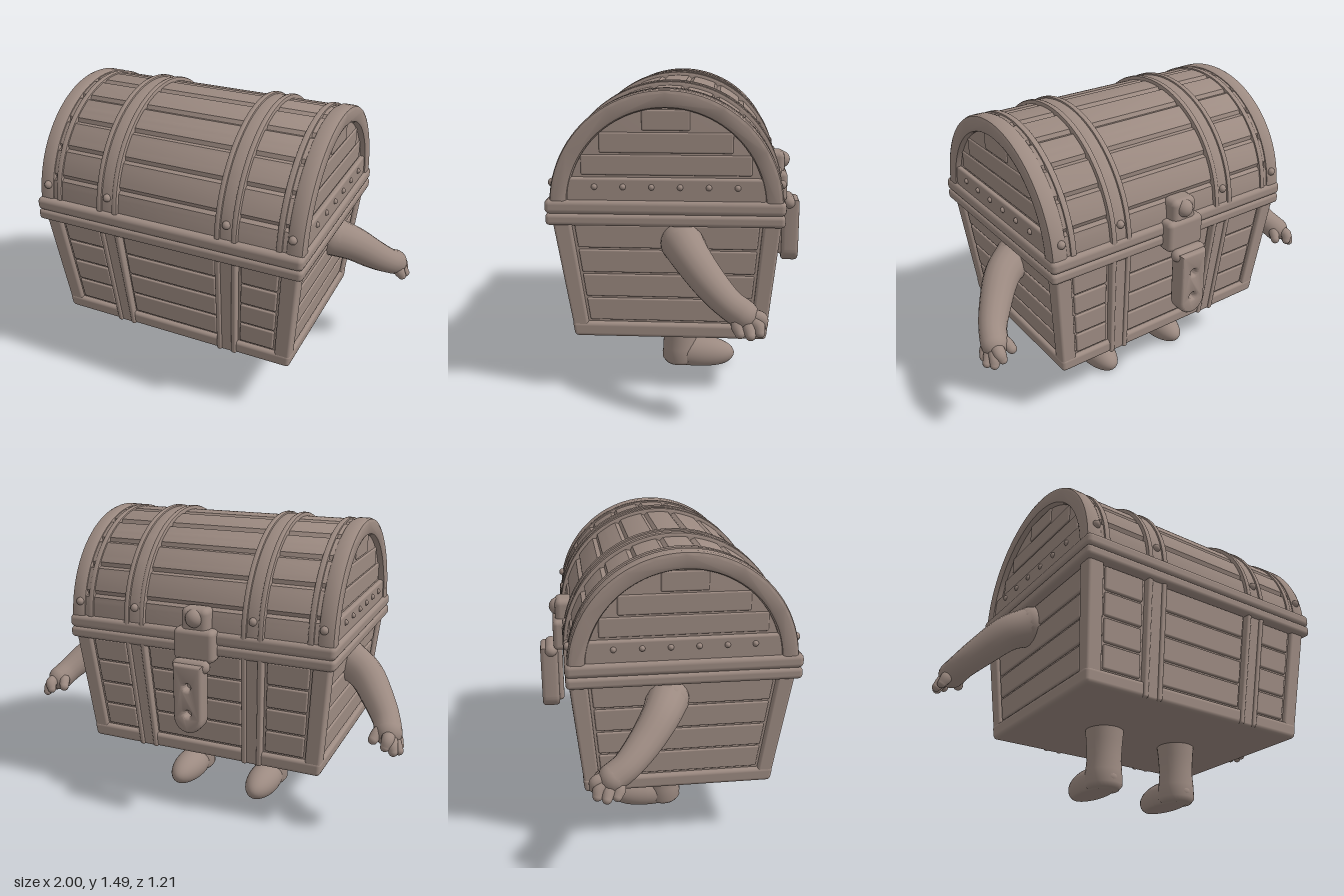
import * as THREE from 'three';
import { toCreasedNormals } from 'three/addons/utils/BufferGeometryUtils.js';
import { RoundedBoxGeometry } from 'three/addons/geometries/RoundedBoxGeometry.js';

const wood = new THREE.MeshStandardMaterial({ color: 0x9c8a81 });
const skin = new THREE.MeshStandardMaterial({ color: 0x9c8a81 });
const ZC = 0.05, LID_Y = 0.95;

function add(parent, name, geometry, material = wood) {
  const mesh = new THREE.Mesh(geometry, material);
  mesh.name = name;
  parent.add(mesh);
  return mesh;
}

// Rounded box given by its extents
function slab(x0, x1, y0, y1, z0, z1, r = 0.012) {
  const g = new RoundedBoxGeometry(x1 - x0, y1 - y0, z1 - z0, 2, r);
  return g.translate((x0 + x1) / 2, (y0 + y1) / 2, (z0 + z1) / 2);
}

// Narrow the chest towards its floor
function taper(g) {
  const p = g.attributes.position;
  for (let i = 0; i < p.count; i++) {
    const t = (p.getY(i) - 0.3) / 0.6;
    p.setX(i, p.getX(i) * (0.92 + 0.08 * t));
    p.setZ(i, 0.04 + 0.01 * t + (p.getZ(i) - ZC) * (0.865 + 0.135 * t));
  }
  return g;
}

// Half-round outline; grooves mark the joints between planks
function archPoints(r, planks = 0) {
  const pts = [], n = planks ? planks * 8 : 48;
  for (let i = 0; i <= n; i++) {
    const a = (i / n) * Math.PI;
    const rr = planks && i % 8 === 0 ? r - 0.014 : r;
    pts.push(new THREE.Vector2(rr * Math.cos(a), LID_Y + rr * Math.sin(a)));
  }
  return pts;
}

// Half-round slice between two x positions, hollow when an inner radius is given
function arch(x0, x1, r, { inner = 0, planks = 0, bevel = 0.01 } = {}) {
  const pts = archPoints(r - bevel, planks);
  if (inner) pts.push(...archPoints(inner + bevel).reverse());
  const g = new THREE.ExtrudeGeometry(new THREE.Shape(pts), {
    depth: x1 - x0 - 2 * bevel, bevelEnabled: true,
    bevelSize: bevel, bevelThickness: bevel, bevelSegments: 2,
  });
  g.rotateY(Math.PI / 2).translate(x0 + bevel, 0, ZC);
  return toCreasedNormals(g, 0.6);
}

// Tube of changing radius with round ends; points are [x, y, z, radius]
function limb(parent, name, pts) {
  const curve = new THREE.CatmullRomCurve3(pts.map(p => new THREE.Vector3(p[0], p[1], p[2])));
  const segs = 20, sides = 16;
  const g = new THREE.TubeGeometry(curve, segs, 1, sides);
  const pos = g.attributes.position, nor = g.attributes.normal;
  for (let i = 0; i < pos.count; i++) {
    const f = curve.getUtoTmapping(Math.floor(i / (sides + 1)) / segs) * (pts.length - 1);
    const k = Math.min(Math.floor(f), pts.length - 2);
    const s = THREE.MathUtils.lerp(pts[k][3], pts[k + 1][3], f - k) - 1;
    pos.setXYZ(i, pos.getX(i) + nor.getX(i) * s, pos.getY(i) + nor.getY(i) * s, pos.getZ(i) + nor.getZ(i) * s);
  }
  add(parent, name, g, skin);
  for (const p of [pts[0], pts[pts.length - 1]])
    add(parent, name + 'End', new THREE.SphereGeometry(p[3], 16, 12).translate(p[0], p[1], p[2]), skin);
}

function buildBox(root) {
  const box = new THREE.Group();
  box.name = 'chestBox';
  root.add(box);
  add(box, 'boxCore', taper(slab(-0.655, 0.655, 0.305, 0.9, -0.45, 0.55)));
  add(box, 'bottomTrim', taper(slab(-0.68, 0.68, 0.3, 0.375, -0.475, 0.575, 0.02)));
  for (const sx of [-1, 1]) for (const z of [-0.43, 0.53])
    add(box, 'cornerPost', taper(slab(sx * 0.635 - 0.042, sx * 0.635 + 0.042, 0.31, 0.9, z - 0.042, z + 0.042, 0.015)));
  // Double-ridged straps down the front and back
  for (const x of [-0.3, 0.325]) {
    add(box, 'boxStrap', taper(slab(x - 0.055, x + 0.055, 0.3, 0.9, -0.475, 0.575)));
    for (const dx of [-0.042, 0.042])
      add(box, 'strapRidge', taper(slab(x + dx - 0.014, x + dx + 0.014, 0.3, 0.9, -0.485, 0.585, 0.01)));
  }
  // Planks between the straps and across the ends
  for (let i = 0; i < 4; i++) {
    const y0 = 0.385 + i * 0.122, y1 = y0 + 0.112;
    for (const [a, b] of [[-0.58, -0.37], [-0.235, 0.26], [0.395, 0.58]])
      add(box, 'plank', taper(slab(a, b, y0, y1, -0.462, 0.562, 0.008)));
    add(box, 'endPlank', taper(slab(-0.665, 0.665, y0, y1, -0.375, 0.475, 0.008)));
  }
  // Meeting rims of box and lid
  add(box, 'boxRim', slab(-0.7, 0.7, 0.865, 0.922, -0.485, 0.597, 0.02));
  add(box, 'lidRim', slab(-0.7, 0.7, 0.918, 0.985, -0.488, 0.6, 0.024));
}

function buildLid(root) {
  const lid = new THREE.Group();
  lid.name = 'lid';
  root.add(lid);
  add(lid, 'lidCore', arch(-0.66, 0.66, 0.518, { planks: 11, bevel: 0.004 }));
  for (const x of [-0.3, 0.325]) {
    add(lid, 'lidStrap', arch(x - 0.055, x + 0.055, 0.528));
    for (const dx of [-0.042, 0.042])
      add(lid, 'lidStrapRidge', arch(x + dx - 0.015, x + dx + 0.015, 0.537));
  }
  for (const s of [-1, 1]) {
    const span = (a, b) => (s > 0 ? [a, b] : [-b, -a]);
    add(lid, 'endHoop', arch(...span(0.61, 0.692), 0.527, { inner: 0.445, bevel: 0.018 }));
    add(lid, 'hoopEdge', arch(...span(0.565, 0.595), 0.526, { bevel: 0.006 }));
    add(lid, 'endBoard', slab(...span(0.63, 0.682), 0.97, 1.085, -0.4, 0.5, 0.012));
    // Planks of the lid's end panel, shortened to fit the arch
    for (let i = 0; i < 3; i++) {
      const y0 = 1.095 + i * 0.1;
      const w = Math.sqrt(0.45 ** 2 - (y0 + 0.092 - LID_Y) ** 2);
      add(lid, 'lidEndPlank', slab(...span(0.63, 0.667), y0, y0 + 0.092, ZC - w, ZC + w, 0.008));
    }
    for (let i = 0; i < 6; i++)
      add(lid, 'stud', new THREE.SphereGeometry(0.014, 10, 8).translate(s * 0.682, 1.045, -0.27 + i * 0.128));
  }
  // Studs along the straps and corners, front and back
  for (const x of [-0.64, -0.3, 0.325, 0.64]) for (const a of [0.2, Math.PI - 0.2])
    add(lid, 'stud', new THREE.SphereGeometry(0.02, 10, 8)
      .translate(x, LID_Y + 0.528 * Math.sin(a), ZC + 0.528 * Math.cos(a)));
}

function buildLatch(root) {
  const latch = new THREE.Group();
  latch.name = 'latch';
  latch.position.x = -0.02;
  root.add(latch);
  add(latch, 'latchPlate', slab(-0.105, 0.105, 0.84, 1.0, -0.535, -0.45, 0.025));
  add(latch, 'latchMount', slab(-0.07, 0.07, 0.97, 1.1, -0.52, -0.42, 0.03));
  const knob = add(latch, 'latchKnob', new THREE.SphereGeometry(0.045, 16, 12));
  knob.position.set(0, 1.05, -0.505);
  // Hanging hasp with two openings
  const shape = new THREE.Shape();
  shape.moveTo(-0.06, 0.83).lineTo(-0.06, 0.575);
  shape.absarc(0, 0.575, 0.06, Math.PI, 2 * Math.PI, false);
  shape.lineTo(0.06, 0.83).closePath();
  for (const y of [0.6, 0.735])
    shape.holes.push(new THREE.Path().absarc(0, y, 0.032, 0, 2 * Math.PI, true));
  const hasp = new THREE.ExtrudeGeometry(shape, {
    depth: 0.05, bevelEnabled: true, bevelSize: 0.015, bevelThickness: 0.02, bevelSegments: 3, curveSegments: 16,
  });
  add(latch, 'hasp', toCreasedNormals(hasp.translate(0, 0, -0.585), 0.7));
  add(latch, 'haspBack', slab(-0.055, 0.055, 0.54, 0.84, -0.56, -0.49, 0.02));
  add(latch, 'haspHinge', new THREE.CapsuleGeometry(0.032, 0.13, 6, 14).rotateZ(Math.PI / 2).translate(0, 0.83, -0.55));
}

function buildArm(root, s) {
  const arm = new THREE.Group();
  arm.name = s > 0 ? 'leftArm' : 'rightArm';
  root.add(arm);
  const m = pts => pts.map(([x, y, z, r]) => [s * x, y, z, r]);
  limb(arm, 'armTube', m([[0.64, 0.78, -0.02, 0.1], [0.74, 0.735, -0.07, 0.088], [0.83, 0.65, -0.155, 0.077],
    [0.895, 0.58, -0.24, 0.066], [0.92, 0.545, -0.3, 0.066]]));
  const tips = [[0.972, 0.48, -0.285], [0.98, 0.475, -0.33], [0.962, 0.482, -0.37], [0.925, 0.505, -0.383]];
  for (const t of tips)
    limb(arm, 'finger', m([[0.925, 0.545, -0.3, 0.035], [(0.94 + t[0]) / 2, t[1] + 0.03, t[2] + 0.01, 0.03], [...t, 0.022]]));
  limb(arm, 'thumb', m([[0.905, 0.56, -0.29, 0.035], [0.875, 0.545, -0.33, 0.028], [0.862, 0.52, -0.355, 0.024]]));
}

function buildLeg(root, s) {
  const leg = new THREE.Group();
  leg.name = s > 0 ? 'leftLeg' : 'rightLeg';
  leg.position.x = s * 0.222;
  root.add(leg);
  const profile = [[0, 0], [0.075, 0.003], [0.092, 0.025], [0.09, 0.09], [0.085, 0.16], [0.09, 0.24], [0.098, 0.32]];
  const shin = new THREE.LatheGeometry(profile.map(p => new THREE.Vector2(...p)), 28);
  add(leg, 'shin', shin.translate(0, 0, 0.016), skin);
  // Rounded foot with a flat sole, toes towards the latch side
  const foot = new THREE.SphereGeometry(1, 32, 24).scale(0.086, 0.085, 0.19).translate(0, 0.05, -0.08);
  const p = foot.attributes.position;
  for (let i = 0; i < p.count; i++) p.setY(i, Math.max(p.getY(i), 0));
  foot.computeVertexNormals();
  add(leg, 'foot', foot, skin);
}

export function createModel() {
  const root = new THREE.Group();
  root.name = 'walkingChest';
  buildBox(root);
  buildLid(root);
  buildLatch(root);
  for (const s of [-1, 1]) {
    buildArm(root, s);
    buildLeg(root, s);
  }
  return root;
}
